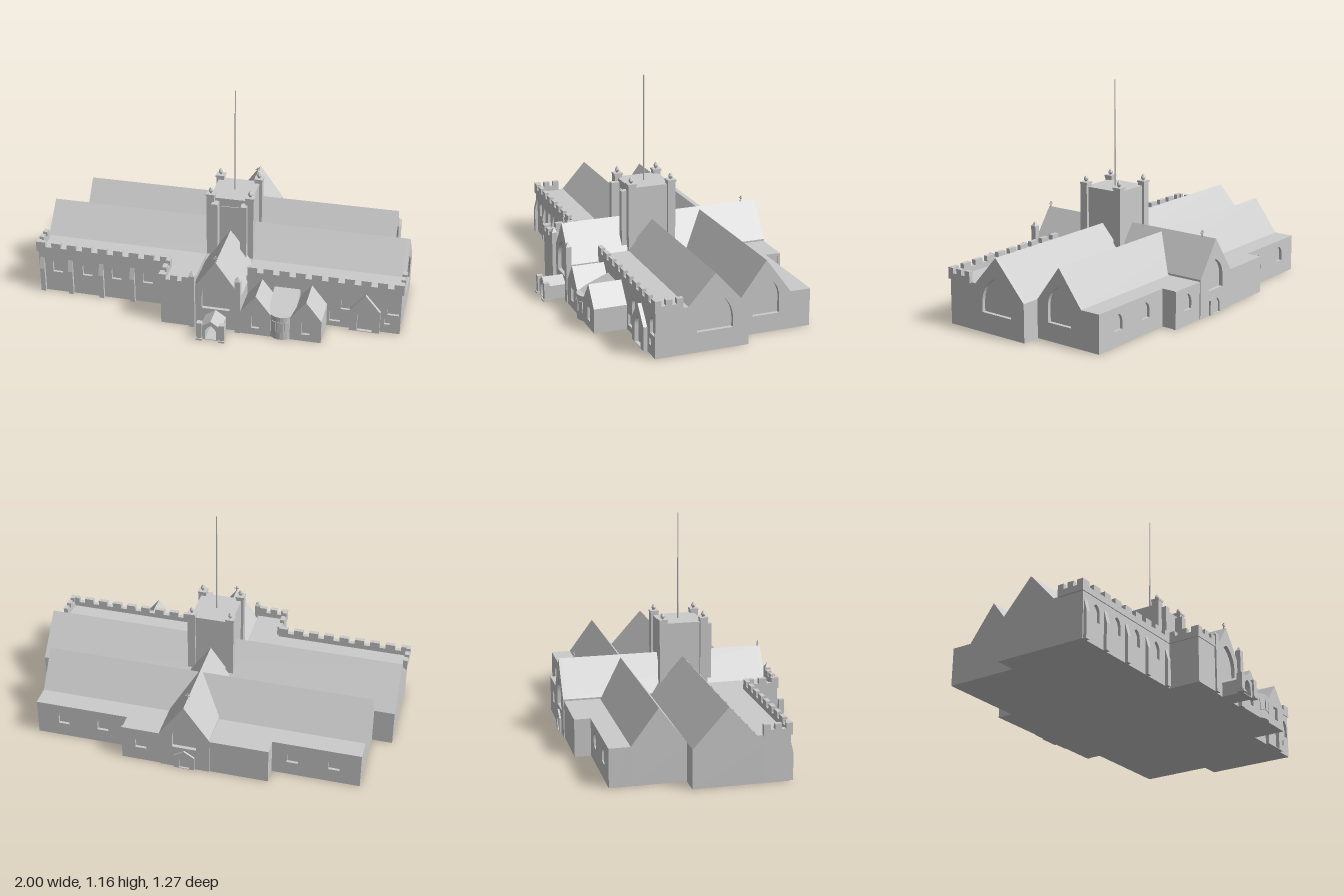
import * as THREE from 'three';

export function createModel() {
  const model = new THREE.Group();
  const grey = new THREE.MeshStandardMaterial({ color: 0xcccccc, flatShading: true, side: THREE.DoubleSide });

  const add = (name, geo, parent = model) => {
    const mesh = new THREE.Mesh(geo, grey);
    mesh.name = name;
    parent.add(mesh);
    return mesh;
  };
  const group = (name) => {
    const g = new THREE.Group();
    g.name = name;
    model.add(g);
    return g;
  };
  // box given by its limits
  const box = (name, x0, x1, y0, y1, z0, z1, parent) => {
    const geo = new THREE.BoxGeometry(x1 - x0, y1 - y0, z1 - z0);
    geo.translate((x0 + x1) / 2, (y0 + y1) / 2, (z0 + z1) / 2);
    return add(name, geo, parent);
  };
  const poly = (pts) => new THREE.Shape(pts.map(([x, y]) => new THREE.Vector2(x, y)));
  const rect = (x0, x1, y0, y1) => [[x0, y0], [x0, y1], [x1, y1], [x1, y0]];
  const gable = (c, half, eave, peak) => [[c - half, 0], [c - half, eave], [c, peak], [c + half, eave], [c + half, 0]];

  // pointed arch opening
  const arch = (cx, w, y0, y1) => {
    const s = new THREE.Path(), h = w / 2, spring = Math.max(y0, y1 - w * 0.8);
    s.moveTo(cx - h, y0);
    s.lineTo(cx - h, spring);
    s.quadraticCurveTo(cx - h, spring + (y1 - spring) * 0.7, cx, y1);
    s.quadraticCurveTo(cx + h, spring + (y1 - spring) * 0.7, cx + h, spring);
    s.lineTo(cx + h, y0);
    s.closePath();
    return s;
  };
  const square = (cx, w, y0, y1) => new THREE.Path(rect(cx - w / 2, cx + w / 2, y0, y1).map(([x, y]) => new THREE.Vector2(x, y)));

  // profile in x-y, swept from z0 to z1
  const sweepZ = (name, pts, z0, z1, holes = [], parent) => {
    const s = poly(pts);
    s.holes.push(...holes);
    const geo = new THREE.ExtrudeGeometry(s, { depth: z1 - z0, bevelEnabled: false, curveSegments: 8 });
    geo.translate(0, 0, z0);
    return add(name, geo, parent);
  };
  // profile in (-z)-y, swept from x0 to x1
  const sweepX = (name, pts, x0, x1, holes, parent) => {
    const mesh = sweepZ(name, pts, x0, x1, holes, parent);
    mesh.geometry.rotateY(Math.PI / 2);
    return mesh;
  };

  // two parallel ranges with gable windows in the +x end
  const nave = gable(-0.03, 0.18, 0.2, 0.4);
  sweepX('nave', nave, -0.99, 0.97);
  sweepX('naveEndWall', nave, 0.97, 0.99, [arch(-0.03, 0.19, 0.105, 0.295)]);
  const range = gable(0.288, 0.138, 0.2, 0.385);
  sweepX('rearRange', range, -0.88, 0.87);
  sweepX('rearRangeEndWall', range, 0.87, 0.89, [arch(0.29, 0.145, 0.095, 0.29)]);

  // transept crossing both ranges, window at each end
  const cross = gable(0.04, 0.135, 0.21, 0.4);
  sweepZ('transept', cross, -0.605, 0.48);
  sweepZ('transeptFrontWall', cross, 0.48, 0.5, [arch(0.04, 0.15, 0.115, 0.3)]);
  sweepZ('transeptBackWall', cross, -0.625, -0.605, [arch(0.04, 0.13, 0.13, 0.29)]);
  for (const z of [0.488, -0.54]) {
    const g = group('gableCross');
    box('crossStem', 0.037, 0.043, 0.395, 0.43, z - 0.003, z + 0.003, g);
    box('crossArm', 0.028, 0.052, 0.415, 0.42, z - 0.003, z + 0.003, g);
  }
  for (const x of [-0.085, 0.16]) {
    box('transeptButtress', x - 0.015, x + 0.015, 0, 0.31, 0.49, 0.52);
    const cap = add('buttressCap', new THREE.ConeGeometry(0.021, 0.025, 4).rotateY(Math.PI / 4));
    cap.position.set(x, 0.3225, 0.505);
  }

  // low rear aisles with arched windows
  box('rearAisle', -0.88, 0.89, 0, 0.2, -0.52, -0.42);
  sweepZ('rearAisleWall', rect(-0.88, 0.89, 0, 0.2), -0.535, -0.52,
    [-0.74, -0.52, 0.52, 0.74].map((x) => arch(x, 0.06, 0.08, 0.165)));
  box('rearVestry', -0.41, 0.38, 0, 0.2, -0.605, -0.5);
  sweepZ('rearVestryWallRight', rect(-0.41, -0.09, 0, 0.2), -0.62, -0.605);
  sweepZ('rearVestryWallLeft', rect(0.17, 0.385, 0, 0.2), -0.62, -0.605, [arch(0.28, 0.06, 0.08, 0.165)]);
  sweepZ('rearDoorway', gable(0.04, 0.055, 0.08, 0.115), -0.635, -0.615, [arch(0.04, 0.055, 0.003, 0.085)]);

  // front aisles
  box('frontAisleRight', -0.99, -0.09, 0, 0.245, 0.17, 0.325);
  sweepZ('frontAisleRightWall', rect(-0.99, -0.25, 0, 0.245), 0.325, 0.34,
    [-0.885, -0.715, -0.55, -0.375].map((x) => arch(x, 0.055, 0.12, 0.21)));
  for (const x of [-0.97, -0.81, -0.635, -0.46, -0.285]) {
    box('aisleButtress', x - 0.013, x + 0.013, 0, 0.14, 0.33, 0.357);
    const b = sweepX('buttressTop', [[-0.357, 0.14], [-0.34, 0.205], [-0.33, 0.205], [-0.33, 0.14]], -0.013, 0.013);
    b.position.x = x;
  }
  box('frontAisleLeft', 0.17, 0.99, 0, 0.245, 0.17, 0.325);
  sweepZ('frontAisleLeftWall', rect(0.17, 0.99, 0, 0.245), 0.325, 0.34, [
    arch(0.705, 0.06, 0.11, 0.205), arch(0.95, 0.06, 0.11, 0.205),
    square(0.645, 0.06, 0.03, 0.09), square(0.92, 0.03, 0.05, 0.082)]);
  sweepZ('sideDoorway', gable(0.805, 0.08, 0.125, 0.22), 0.335, 0.36, [arch(0.805, 0.08, 0.003, 0.155)]);
  box('cornerBlock', -0.255, -0.09, 0, 0.245, 0.3, 0.51);

  // crenellated parapets: low wall plus spaced merlons
  const parapet = (a, b, at, alongX, count) => {
    const g = group('parapet'), t = 0.012, pitch = (b - a) / (count - 0.4);
    const piece = (name, p, q, y0, y1) => alongX
      ? box(name, p, q, y0, y1, at - t, at + t, g)
      : box(name, at - t, at + t, y0, y1, p, q, g);
    piece('parapetWall', a, b, 0.24, 0.272);
    for (let i = 0; i < count; i++) piece('merlon', a + i * pitch, a + (i + 0.6) * pitch, 0.272, 0.3);
  };
  parapet(-1, -0.25, 0.333, true, 9);
  parapet(0.175, 1, 0.333, true, 10);
  parapet(0.2, 0.345, -0.988, false, 3);
  parapet(0.2, 0.345, 0.988, false, 3);
  parapet(0.335, 0.515, -0.25, false, 3);
  parapet(-0.262, -0.1, 0.503, true, 3);

  // tower with buttresses, corner turrets, pinnacles and flagpole
  box('tower', -0.075, 0.15, 0, 0.585, -0.085, 0.15);
  const bud = [[0.006, 0], [0.006, 0.006], [0.012, 0.014], [0.012, 0.02], [0.006, 0.032], [0, 0.038]]
    .map(([r, y]) => new THREE.Vector2(r, y));
  for (const x of [-0.068, 0.145]) {
    for (const z of [-0.077, 0.147]) {
      box('turret', x - 0.021, x + 0.021, 0, 0.6, z - 0.021, z + 0.021);
      box('turretCap', x - 0.024, x + 0.024, 0.6, 0.61, z - 0.024, z + 0.024);
      add('pinnacle', new THREE.LatheGeometry(bud, 8)).position.set(x, 0.608, z);
    }
  }
  for (const x of [-0.04, 0.118]) box('towerButtress', x - 0.017, x + 0.017, 0, 0.568, 0.14, 0.196);
  box('towerPanel', -0.01, 0.088, 0.38, 0.54, 0.145, 0.155);
  const pole = add('flagpole', new THREE.CylinderGeometry(0.003, 0.005, 0.58, 8));
  pole.position.set(0.037, 0.872, 0.033);

  // front porch
  sweepZ('porch', gable(0.04, 0.055, 0.075, 0.112), 0.5, 0.615, [arch(0.04, 0.06, 0.003, 0.085)]);
  for (const x of [-0.02, 0.1]) {
    box('porchButtress', x - 0.014, x + 0.014, 0, 0.1, 0.595, 0.625);
    box('porchPlinth', x - 0.017, x + 0.017, 0, 0.01, 0.592, 0.632);
  }

  // twin-gabled front wing with a rounded bay between
  for (const x of [0.255, 0.52]) {
    const outline = gable(x, 0.082, 0.13, 0.235);
    sweepZ('wing', outline, 0.3, 0.5);
    sweepZ('wingFrontWall', outline, 0.5, 0.515, [square(x, 0.042, 0.04, 0.11)]);
  }
  sweepX('wingLink', [[-0.5, 0], [-0.5, 0.135], [-0.34, 0.2], [-0.34, 0]], 0.32, 0.46);
  const bay = add('bay', new THREE.CylinderGeometry(0.07, 0.07, 0.135, 24));
  bay.position.set(0.388, 0.0675, 0.462);
  for (const a of [-0.5, 0, 0.5]) {
    const w = box('bayWindowSurround', -0.012, 0.012, 0.045, 0.105, 0.066, 0.073);
    w.rotation.y = a;
    w.position.set(0.388, 0, 0.462);
  }

  return model;
}
